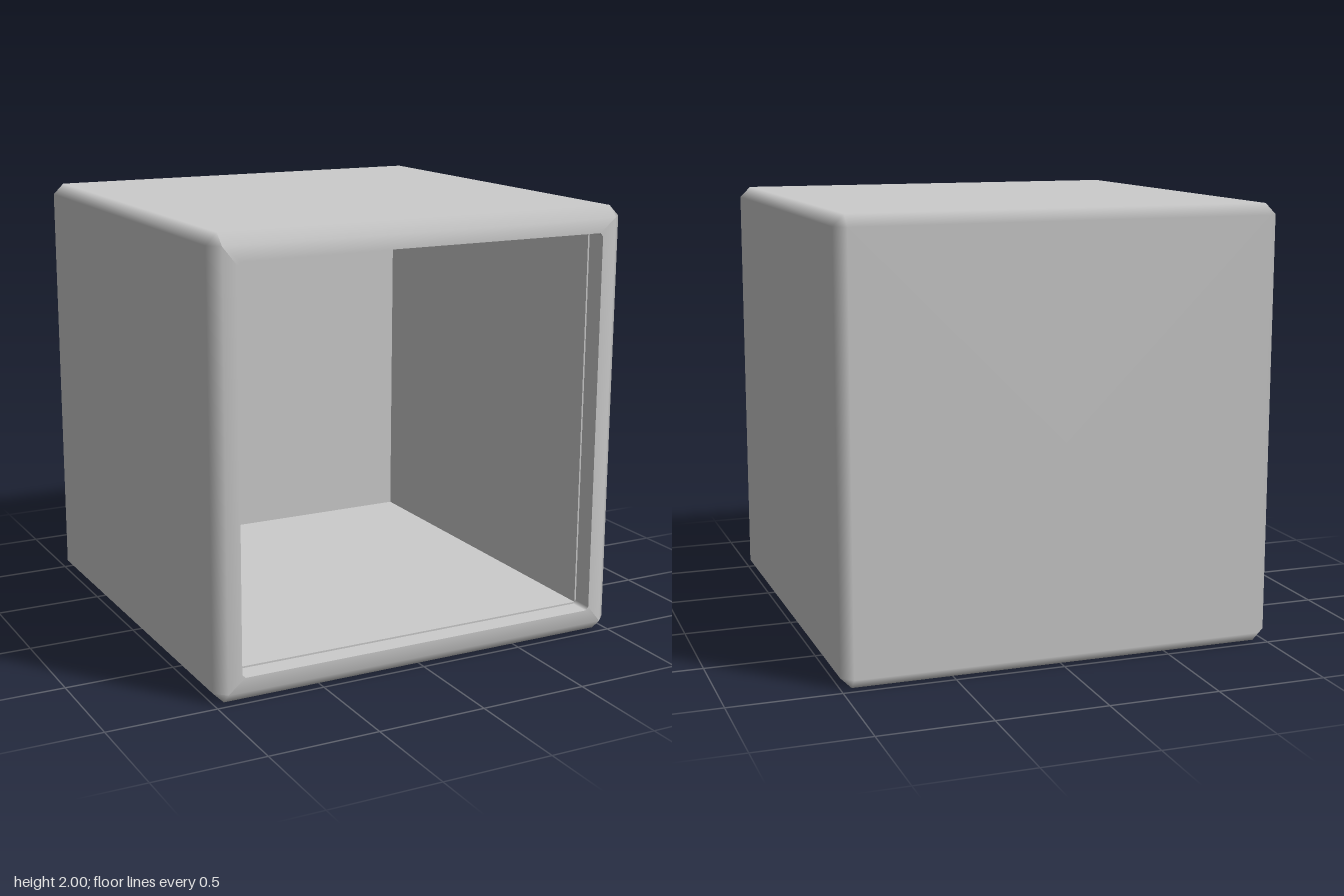
import * as THREE from 'three';

// Square loop with cut corners: half size h, corner cut c, at depth z.
// Each point's normal is nr along its side and nz along z.
function loop([h, c, z, nr, nz], positions, normals) {
  for (let k = 0; k < 4; k++) {
    const cos = Math.round(Math.cos(k * Math.PI / 2));
    const sin = Math.round(Math.sin(k * Math.PI / 2));
    for (const t of [-(h - c), h - c]) {
      positions.push(h * cos - t * sin, h * sin + t * cos, z);
      const n = new THREE.Vector3(nr * cos, nr * sin, nz).normalize();
      normals.push(n.x, n.y, n.z);
    }
  }
}

// Skins a row of loops, outside first and then back down the inside.
function skin(rings) {
  const positions = [], normals = [], index = [];
  rings.forEach((ring) => loop(ring, positions, normals));
  for (let i = 0; i < rings.length - 1; i++) {
    for (let j = 0; j < 8; j++) {
      const a = i * 8 + j, b = i * 8 + (j + 1) % 8;
      index.push(a, b, b + 8, a, b + 8, a + 8);
    }
  }
  const geometry = new THREE.BufferGeometry();
  geometry.setAttribute('position', new THREE.Float32BufferAttribute(positions, 3));
  geometry.setAttribute('normal', new THREE.Float32BufferAttribute(normals, 3));
  geometry.setIndex(index);
  return geometry;
}

export function createModel() {
  const group = new THREE.Group();
  const material = new THREE.MeshStandardMaterial({ color: 0xcccccc });

  // Outer shell with softened edges, ending in the front rim
  const shell = new THREE.Mesh(skin([
    [0, 0, -1, 0, -1],
    [0.95, 0, -1, 0, -1],
    [1, 0.05, -0.95, 1, 0],
    [1, 0.05, 0.95, 1, 0],
    [0.95, 0, 1, 0.25, 1],
    [0.885, 0.015, 1, 0, 1],
  ]), material);
  shell.name = 'outerShell';

  // Shallow rebate just inside the opening
  const rebate = new THREE.Mesh(skin([
    [0.885, 0.015, 1, -1, 0],
    [0.885, 0.015, 0.9, -1, 0],
    [0.885, 0.015, 0.9, 0, 1],
    [0.877, 0, 0.9, 0, 1],
  ]), material);
  rebate.name = 'openingRebate';

  // Inner walls and back panel
  const interior = new THREE.Mesh(skin([
    [0.877, 0, 0.9, -1, 0],
    [0.877, 0, -0.88, -1, 0],
    [0.877, 0, -0.88, 0, 1],
    [0, 0, -0.88, 0, 1],
  ]), material);
  interior.name = 'interior';

  group.add(shell, rebate, interior);
  group.children.forEach((mesh) => { mesh.position.y = 1; });
  return group;
}
